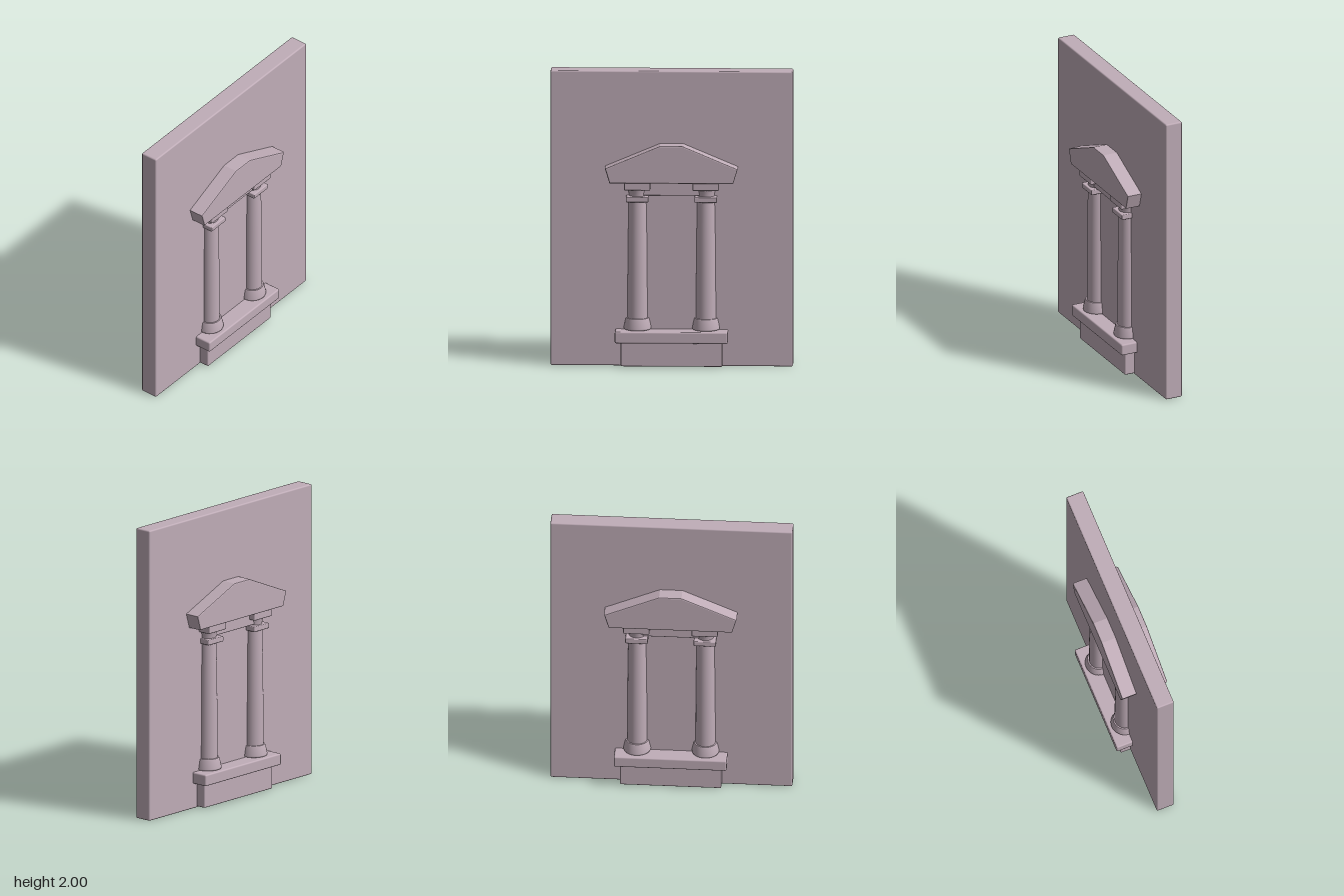
import * as THREE from 'three';
import { RoundedBoxGeometry } from 'three/addons/geometries/RoundedBoxGeometry.js';

const stone = new THREE.MeshStandardMaterial({ color: 0xc0adb8 });
stone.name = 'mauve stone';

function add(parent, name, geometry, x = 0, y = 0, z = 0) {
  const mesh = new THREE.Mesh(geometry, stone);
  mesh.name = name;
  mesh.position.set(x, y, z);
  parent.add(mesh);
  return mesh;
}

// Softly rounded block spanning y0..y1, centred on x and z
function block(parent, name, width, y0, y1, depth, radius = 0.008) {
  return add(parent, name, new RoundedBoxGeometry(width, y1 - y0, depth, 2, radius), 0, (y0 + y1) / 2, 0);
}

// Turned part from [radius, y] pairs, bottom to top
function turned(parent, name, profile) {
  const points = profile.map(([r, y]) => new THREE.Vector2(r, y));
  return add(parent, name, new THREE.LatheGeometry(points, 32));
}

function createColumn(x, z) {
  const column = new THREE.Group();
  column.name = 'column';
  column.position.set(x, 0, z);
  turned(column, 'columnBase', [[0.08, 0.25], [0.089, 0.253], [0.092, 0.262], [0.079, 0.32], [0.075, 0.328]]);
  turned(column, 'baseTop', [[0.075, 0.328], [0, 0.33]]);
  turned(column, 'shaft', [[0.066, 0.32], [0.065, 0.6], [0.062, 0.9], [0.058, 1.13]]);
  block(column, 'neckPlate', 0.15, 1.122, 1.158, 0.15, 0.006);
  turned(column, 'neck', [[0.056, 1.15], [0.058, 1.175], [0.066, 1.21]]);
  block(column, 'capital', 0.174, 1.205, 1.256, 0.174, 0.006);
  return column;
}

// Low gable with a flat crest and undercut ends
function createPediment(parent) {
  const shape = new THREE.Shape([
    [-0.412, 1.255], [0.412, 1.255], [0.442, 1.355],
    [0.075, 1.51], [-0.075, 1.51], [-0.442, 1.355],
  ].map(([x, y]) => new THREE.Vector2(x, y)));
  const bevel = 0.008;
  const geometry = new THREE.ExtrudeGeometry(shape, {
    depth: 0.325 - 2 * bevel, bevelEnabled: true, bevelThickness: bevel,
    bevelSize: bevel, bevelOffset: -bevel, bevelSegments: 2,
  });
  geometry.translate(0, 0, -0.1625 + bevel);
  add(parent, 'pediment', geometry);
}

export function createModel() {
  const model = new THREE.Group();
  model.name = 'wallWithPortico';

  // Wall slab
  block(model, 'wall', 1.615, 0, 2, 0.122, 0.01);

  // Steps, running through the wall to both faces
  block(model, 'plinth', 0.675, 0.008, 0.18, 0.262);
  block(model, 'step', 0.752, 0.172, 0.25, 0.35, 0.01);

  // Half-embedded columns on both faces
  for (const z of [-0.06, 0.06]) {
    for (const x of [-0.228, 0.228]) model.add(createColumn(x, z));
  }

  // Lintel and gable
  block(model, 'lintel', 0.46, 1.163, 1.258, 0.2, 0.005);
  createPediment(model);

  return model;
}
